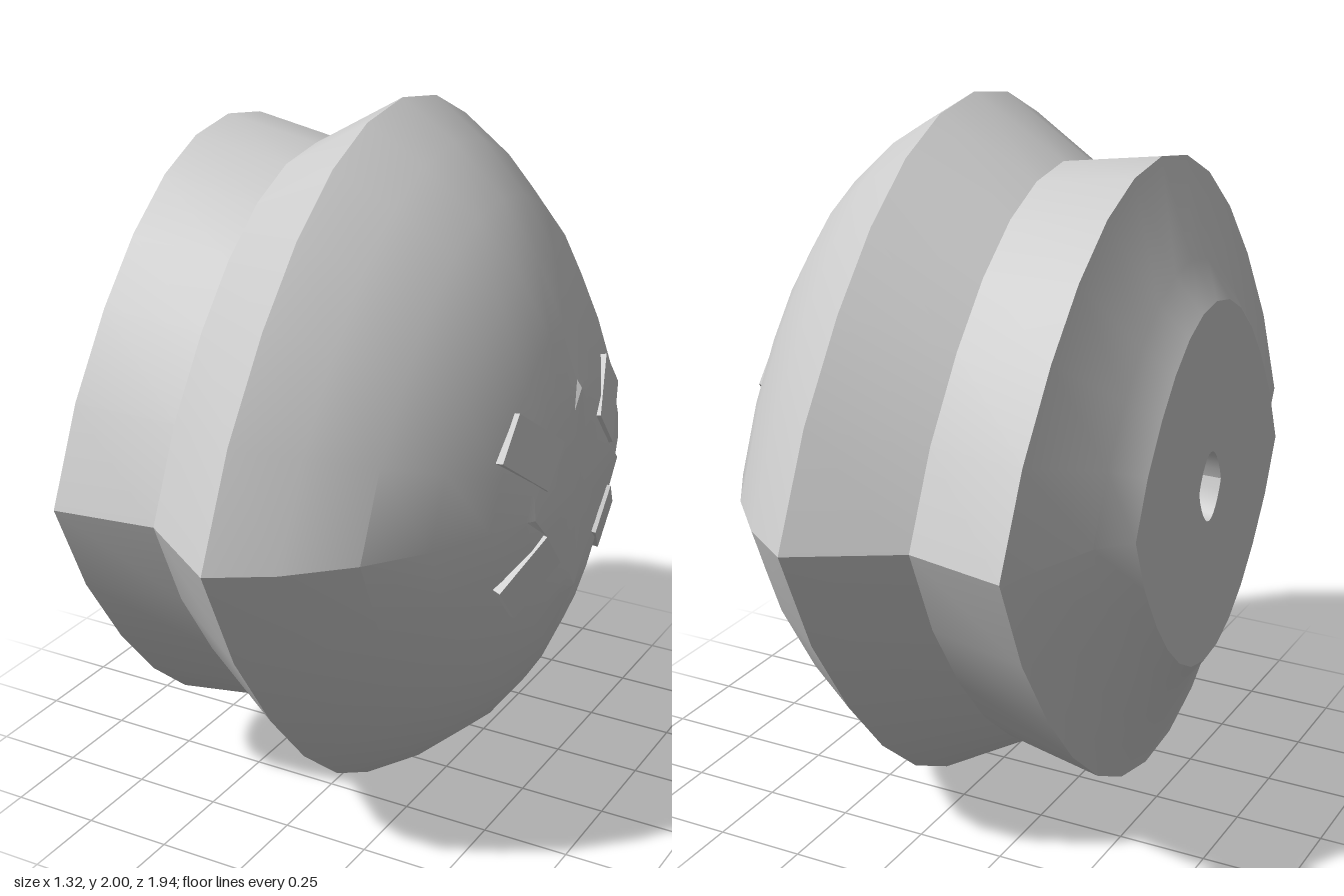
import * as THREE from 'three';
import { toCreasedNormals } from 'three/addons/utils/BufferGeometryUtils.js';

const grey = new THREE.MeshStandardMaterial({ color: 0xcccccc });

// Unit lens outline (z, y): pointed at z = +-1, rounded at y = +-1
const quarter = [[1, 0], [0.866, 0.3], [0.7, 0.55], [0.536, 0.74], [0.36, 0.885], [0.185, 0.97], [0, 1]];
const upper = [...quarter, ...quarter.slice(0, -1).reverse().map(([z, y]) => [-z, y])];
const outline = [...upper, ...upper.slice(1, -1).reverse().map(([z, y]) => [z, -y])];

// Lofts the outline through rings of [x, yRadius, zRadius, pinch];
// pinch pulls the sides inward to a diamond with concave edges
function loft(rings) {
  const n = outline.length;
  const points = rings.map(([x, ry, rz, pinch = 0]) => outline.map(([z, y]) => {
    const f = Math.pow(Math.abs(z) + Math.abs(y), -pinch);
    return new THREE.Vector3(x, y * ry * f, z * rz * f);
  }));
  const out = [];
  const tri = (a, b, c) => {
    const area = b.clone().sub(a).cross(c.clone().sub(a)).length();
    if (area > 1e-9) for (const p of [a, b, c]) out.push(p.x, p.y, p.z);
  };
  for (let i = 0; i < rings.length - 1; i++) {
    for (let k = 0; k < n; k++) {
      const m = (k + 1) % n;
      tri(points[i][k], points[i + 1][k], points[i][m]);
      tri(points[i + 1][k], points[i + 1][m], points[i][m]);
    }
  }
  const geometry = new THREE.BufferGeometry();
  geometry.setAttribute('position', new THREE.Float32BufferAttribute(out, 3));
  return toCreasedNormals(geometry, 0.5);
}

function part(name, geometry, parent) {
  const mesh = new THREE.Mesh(geometry, grey);
  mesh.name = name;
  parent.add(mesh);
  return mesh;
}

export function createModel() {
  const model = new THREE.Group();
  model.name = 'knob';

  // Everything leans slightly about the vertical axis
  const body = new THREE.Group();
  body.name = 'body';
  body.position.y = 1;
  body.rotation.y = -0.036;
  model.add(body);

  // Back plate with a small socket, bevel and waisted collar up to the rim
  part('collar', loft([
    [-0.48, 0, 0], [-0.48, 0.1, 0.07], [-0.64, 0.1, 0.07],
    [-0.64, 0.52, 0.45], [-0.565, 0.62, 0.54], [-0.47, 0.885, 0.845],
    [-0.182, 0.84, 0.795], [0.092, 1, 0.97],
  ]), body);

  // Dome, ending in a pinched star-shaped cap
  part('dome', loft([
    [0.092, 1, 0.97], [0.25, 0.9, 0.865], [0.395, 0.77, 0.715], [0.505, 0.62, 0.555],
    [0.585, 0.45, 0.385], [0.63, 0.31, 0.27],
    [0.645, 0.29, 0.25, 1.25], [0.652, 0, 0],
  ]), body);

  // Four flat tabs set diagonally into the dome
  for (const angle of [0.9, -0.9, Math.PI - 0.9, Math.PI + 0.9]) {
    const arm = new THREE.Group();
    arm.name = 'tabArm';
    arm.rotation.x = angle;
    body.add(arm);
    const tab = part('tab', new THREE.BoxGeometry(0.03, 0.2, 0.14), arm);
    tab.position.set(0.61, 0.285, 0);
    tab.rotation.z = 0.3;
  }
  return model;
}
